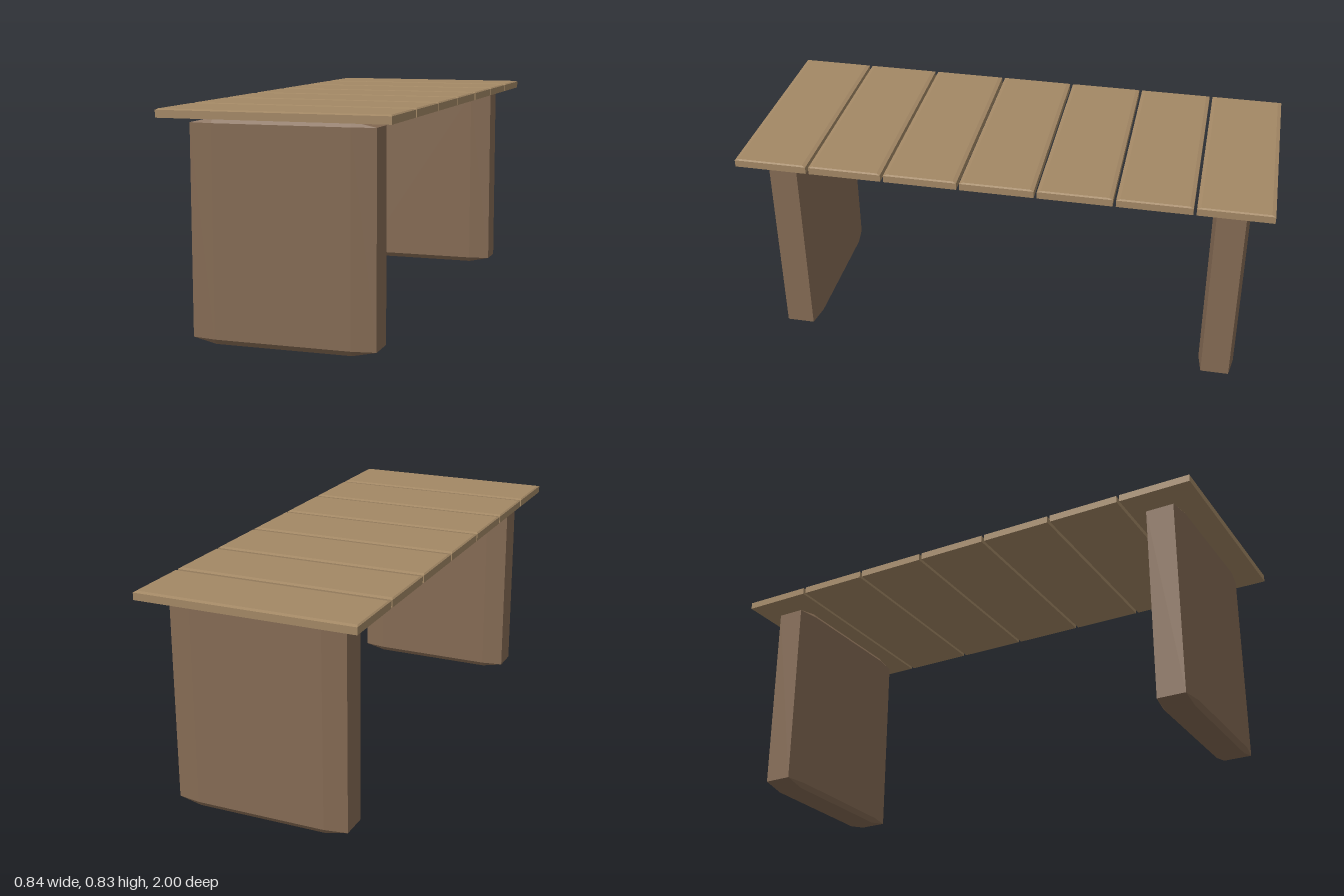
import * as THREE from 'three';
import { ConvexGeometry } from 'three/addons/geometries/ConvexGeometry.js';

const SIGNS = [-1, 1];

// Box with every edge chamfered, by a different amount along each axis
function chamferedBox(w, h, d, cx, cy, cz) {
  const points = [];
  const [x, y, z] = [w / 2, h / 2, d / 2];
  for (const sx of SIGNS) for (const sy of SIGNS) for (const sz of SIGNS) {
    points.push(
      new THREE.Vector3(sx * x, sy * (y - cy), sz * (z - cz)),
      new THREE.Vector3(sx * (x - cx), sy * y, sz * (z - cz)),
      new THREE.Vector3(sx * (x - cx), sy * (y - cy), sz * z)
    );
  }
  return new ConvexGeometry(points);
}

// Board with square lower edges and a chamfered upper rim
function boardGeometry(w, h, d, cx, cy, cz) {
  const points = [];
  const [x, y, z] = [w / 2, h / 2, d / 2];
  for (const sx of SIGNS) for (const sz of SIGNS) {
    points.push(
      new THREE.Vector3(sx * x, -y, sz * z),
      new THREE.Vector3(sx * x, y - cy, sz * z),
      new THREE.Vector3(sx * (x - cx), y, sz * (z - cz))
    );
  }
  return new ConvexGeometry(points);
}

export function createModel() {
  const group = new THREE.Group();
  group.name = 'slattedTable';
  const boardWood = new THREE.MeshStandardMaterial({ color: 0xa38865, flatShading: true });
  const legWood = new THREE.MeshStandardMaterial({ color: 0x856b54, flatShading: true });

  // Seven boards across the top, with narrow gaps
  const count = 7, depth = 0.276, pitch = (2 - depth) / (count - 1);
  const board = boardGeometry(0.838, 0.031, depth, 0.006, 0.004, 0.014);
  for (let i = 0; i < count; i++) {
    const mesh = new THREE.Mesh(board, boardWood);
    mesh.name = `topBoard${i + 1}`;
    mesh.position.set(0, 0.8135, (i - (count - 1) / 2) * pitch);
    group.add(mesh);
  }

  // Two slab legs
  const leg = chamferedBox(0.676, 0.796, 0.136, 0.087, 0.019, 0.014);
  for (const s of SIGNS) {
    const mesh = new THREE.Mesh(leg, legWood);
    mesh.name = s > 0 ? 'frontLeg' : 'backLeg';
    mesh.position.set(0, 0.398, s * 0.849);
    group.add(mesh);
  }
  return group;
}
